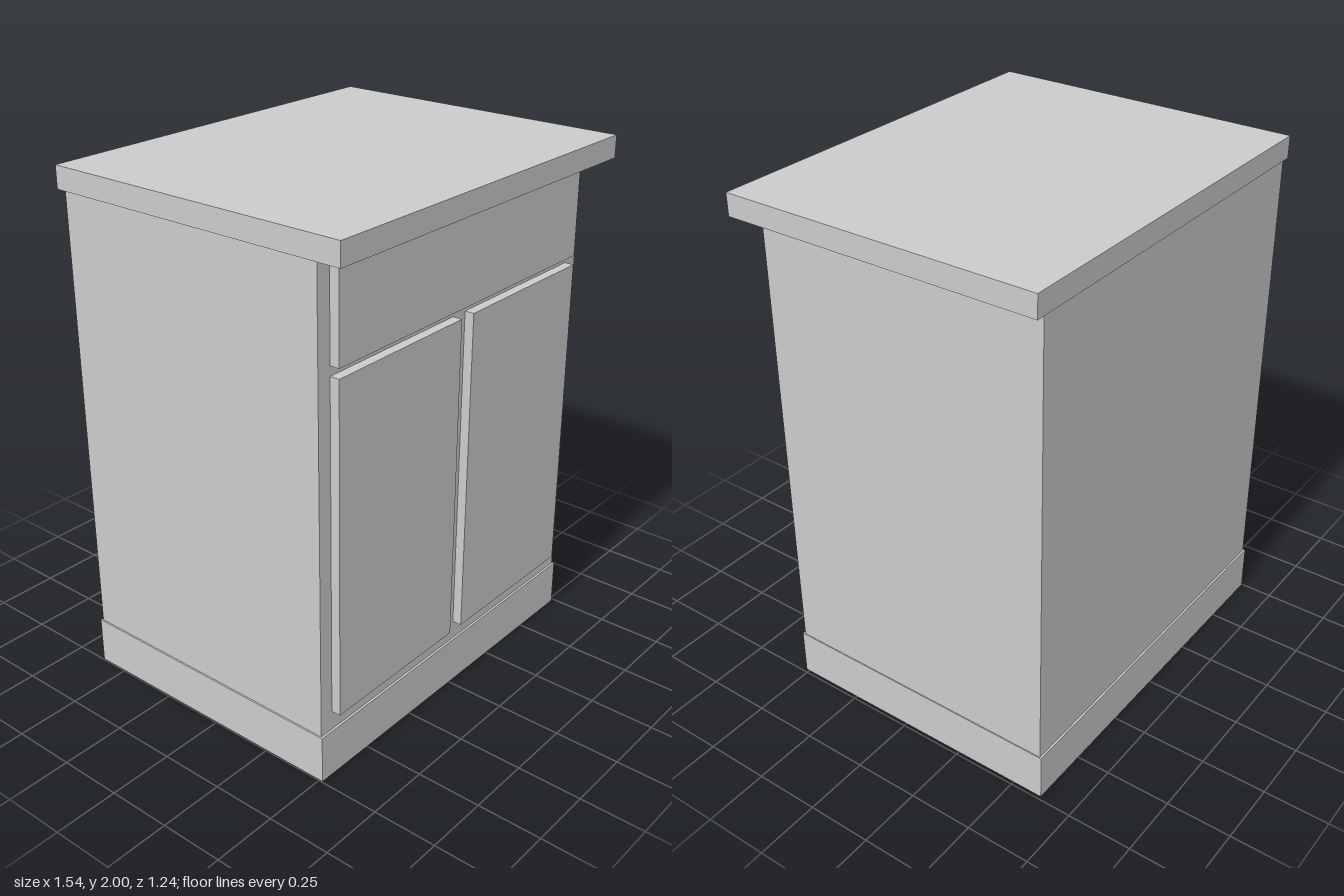
import * as THREE from 'three';

export function createModel() {
  const group = new THREE.Group();
  const material = new THREE.MeshStandardMaterial({ color: 0xcccccc });

  // Box given by its [min, max] extent on each axis
  const addBox = (name, [x0, x1], [y0, y1], [z0, z1]) => {
    const mesh = new THREE.Mesh(new THREE.BoxGeometry(x1 - x0, y1 - y0, z1 - z0), material);
    mesh.position.set((x0 + x1) / 2, (y0 + y1) / 2, (z0 + z1) / 2);
    mesh.name = name;
    group.add(mesh);
  };

  // Carcass: plinth, body and overhanging top
  addBox('plinth', [-0.747, 0.737], [0, 0.185], [-0.62, 0.514]);
  addBox('cabinetBody', [-0.741, 0.733], [0.185, 1.916], [-0.612, 0.505]);
  addBox('countertop', [-0.77, 0.77], [1.916, 2], [-0.616, 0.62]);

  // Raised fronts: one wide drawer over a pair of doors
  const frontDepth = [0.505, 0.541];
  addBox('drawerFront', [-0.684, 0.668], [1.555, 1.902], frontDepth);
  addBox('rightDoor', [-0.684, -0.042], [0.26, 1.52], frontDepth);
  addBox('leftDoor', [0.026, 0.668], [0.26, 1.52], frontDepth);

  return group;
}
